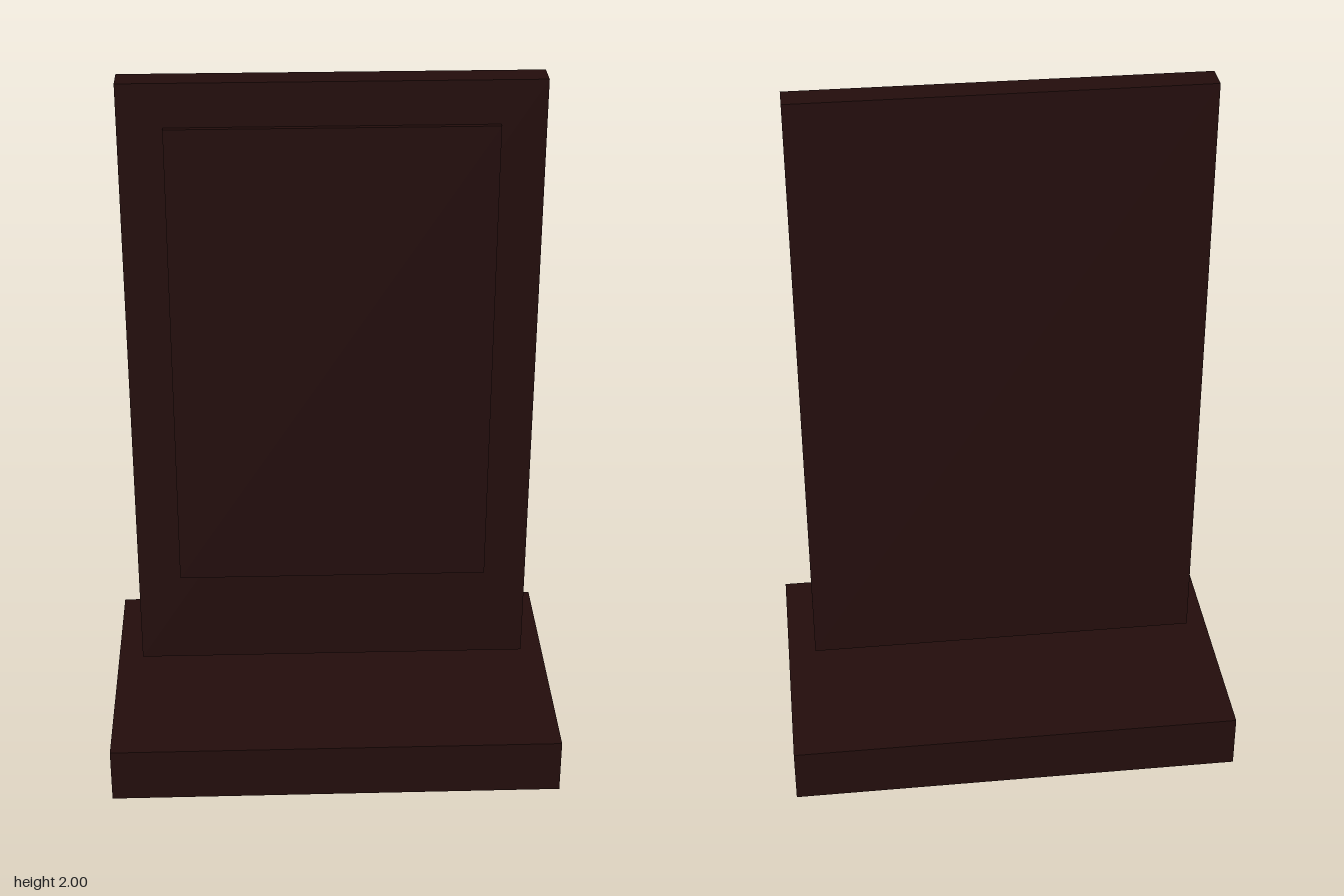
import * as THREE from 'three';

export function createModel() {
  const group = new THREE.Group();

  const darkBrown = new THREE.MeshStandardMaterial({ color: 0x230d0c });
  darkBrown.name = 'dark brown';
  const oliveBrown = new THREE.MeshStandardMaterial({ color: 0x3a2e22 });
  oliveBrown.name = 'olive brown';

  // Box from its size, bottom height and depth position
  function box(name, [w, h, d], bottom, z, material) {
    const mesh = new THREE.Mesh(new THREE.BoxGeometry(w, h, d), material);
    mesh.name = name;
    mesh.position.set(0, bottom + h / 2, z);
    group.add(mesh);
  }

  // Base slab; its right-hand end (-x) has a lighter face
  const baseFaces = Array(6).fill(darkBrown);
  baseFaces[1] = oliveBrown;
  box('base', [1.28, 0.16, 0.8], 0, 0, baseFaces);

  // Upright board floating just above the base
  box('board', [1.12, 1.76, 0.08], 0.24, 0, darkBrown);

  // Raised panel on the front of the board
  box('frontPanel', [0.88, 1.36, 0.015], 0.52, 0.0475, darkBrown);

  return group;
}
